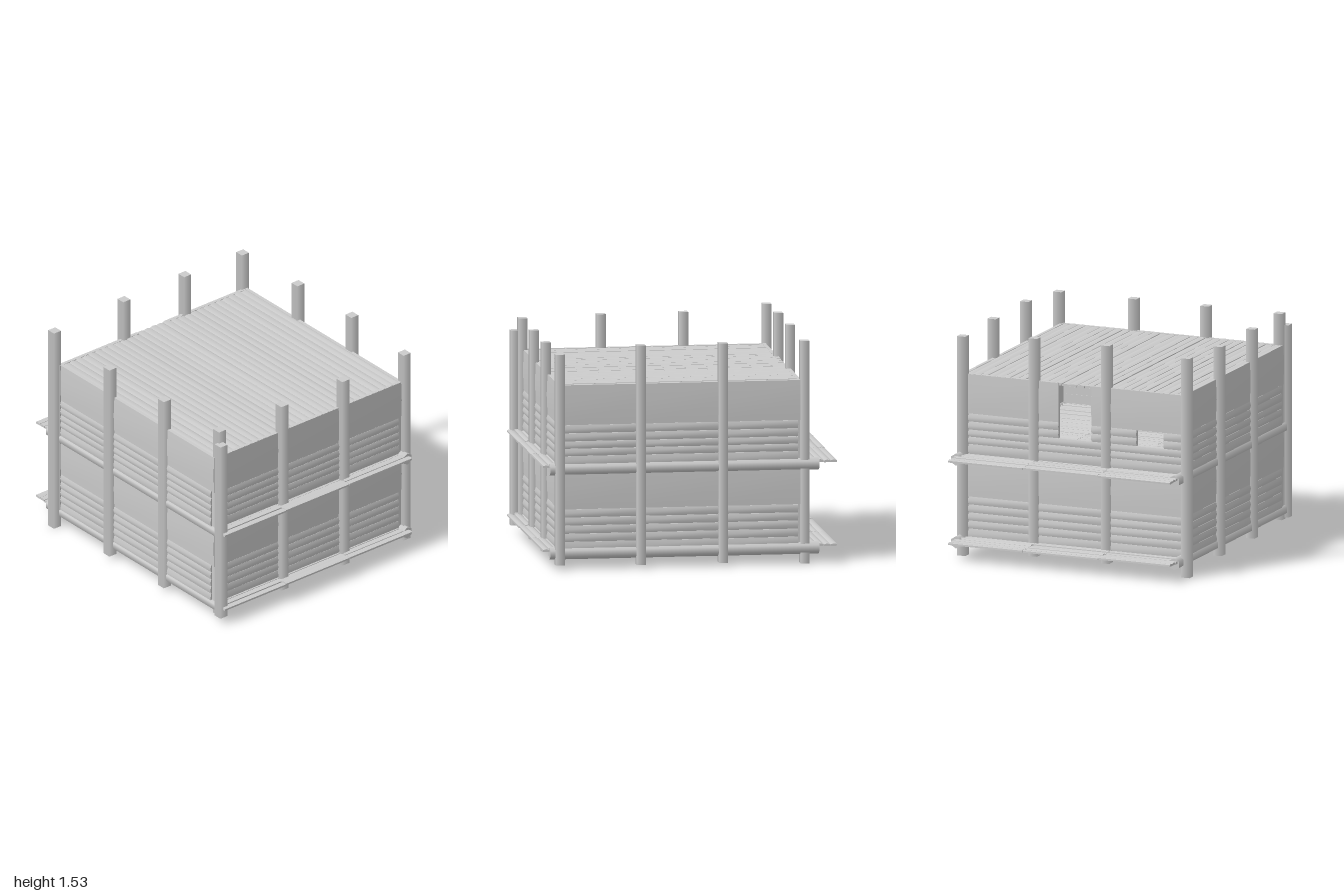
import * as THREE from 'three';

const mat = new THREE.MeshStandardMaterial({ color: 0xcccccc });

// Small seeded jitter in the range -a..a
let seed = 7;
const jitter = (a) => {
  seed = (seed * 16807) % 2147483647;
  return (seed / 2147483647 * 2 - 1) * a;
};

function add(parent, name, geo, x = 0, y = 0, z = 0) {
  const m = new THREE.Mesh(geo, mat);
  m.name = name;
  m.position.set(x, y, z);
  parent.add(m);
  return m;
}

// Board whose outer (+z) face swells slightly across its height
function board(len, height, thick, bulge) {
  const g = new THREE.BoxGeometry(len, height, thick, 1, 2, 1);
  const p = g.attributes.position;
  for (let i = 0; i < p.count; i++) {
    if (p.getZ(i) > 0 && Math.abs(p.getY(i)) < 1e-4) p.setZ(i, p.getZ(i) + bulge);
  }
  g.computeVertexNormals();
  return g;
}

// Board lying flat with the swollen face upwards, running along x
const flatBoard = (len, width, thick, bulge) => board(len, width, thick, bulge).rotateX(-Math.PI / 2);

// Row edges of one storey: slim boards, then one tall plank
const storeys = [
  [0.11, 0.18, 0.235, 0.29, 0.345, 0.40, 0.675],
  [0.69, 0.76, 0.81, 0.86, 0.915, 0.97, 1.24],
];

// Wall facing local +z; breaks are the post positions, holes are [u0, u1, y0, y1]
function wall(name, breaks, holes = []) {
  const g = new THREE.Group();
  g.name = name;
  for (let b = 0; b < breaks.length - 1; b++) {
    for (const rows of storeys) {
      for (let r = 0; r < rows.length - 1; r++) {
        const [y0, y1] = [rows[r], rows[r + 1]];
        const tall = y1 - y0 > 0.1;
        const inset = tall ? 0 : 0.03;
        const [u0, u1] = [breaks[b] + inset, breaks[b + 1] - inset];
        let spans = [[u0, u1]];
        for (const h of holes) {
          if (h[0] > u0 && h[1] < u1 && (y0 + y1) / 2 > h[2] && (y0 + y1) / 2 < h[3]) {
            spans = [[u0, h[0]], [h[1], u1]];
          }
        }
        const tilt = tall ? 0 : jitter(0.003);
        for (const [a, c] of spans) {
          const m = add(g, tall ? 'wallPlank' : 'wallBoard',
            board(c - a, y1 - y0 - (tall ? 0 : 0.001), 0.024, tall ? 0.006 : 0.008),
            (a + c) / 2, (y0 + y1) / 2, -0.012);
          m.rotation.z = tilt;
        }
      }
    }
    // Thin uprights closing the bay ends behind the posts
    for (const u of [breaks[b] + 0.022, breaks[b + 1] - 0.022]) {
      add(g, 'bayTrim', new THREE.BoxGeometry(0.044, 1.12, 0.018), u, 0.67, -0.013);
    }
  }
  return g;
}

export function createModel() {
  const root = new THREE.Group();
  root.name = 'timberTower';
  seed = 7;

  // Posts: [x, z, bottom, top]
  const posts = [
    [-0.835, -0.765, 0, 1.505], [-0.243, -0.755, 0.04, 1.535], [0.285, -0.755, 0.04, 1.535], [0.802, -0.775, 0, 1.505],
    [-0.82, -0.20, 0.03, 1.465], [-0.81, 0.36, 0.03, 1.465],
    [0.825, -0.22, 0.02, 1.505], [0.833, 0.337, 0.02, 1.505],
    [-0.773, 0.895, 0.04, 1.455], [-0.235, 0.898, 0.04, 1.455], [0.293, 0.898, 0.04, 1.455], [0.835, 0.885, 0.03, 1.455],
    [-0.80, 0.943, 0.05, 1.37],
  ];
  for (const [x, z, y0, y1] of posts) {
    const geo = new THREE.CylinderGeometry(0.043, 0.043, y1 - y0, 4).rotateY(Math.PI / 4);
    add(root, 'post', geo, x, (y0 + y1) / 2, z);
  }

  // Walls, each turned so that local +z points outwards
  const front = wall('frontWall', [-0.775, -0.235, 0.293, 0.81]);
  front.position.z = 0.89;
  const back = wall('backWall', [-0.80, -0.285, 0.243, 0.82],
    [[-0.11, 0.13, 0.86, 1.3], [0.46, 0.66, 0.86, 0.97]]);
  back.rotation.y = Math.PI;
  back.position.z = -0.755;
  const right = wall('rightWall', [-0.885, -0.337, 0.22, 0.76]);
  right.rotation.y = Math.PI / 2;
  right.position.x = 0.818;
  const left = wall('leftWall', [-0.76, -0.20, 0.36, 0.88]);
  left.rotation.y = -Math.PI / 2;
  left.position.x = -0.808;
  root.add(front, back, right, left);

  // Floors: boards along x in three lengths, reaching out as ledges front and back
  const joints = [-0.81, -0.28, 0.27, 0.815];
  for (const y of [0.122, 0.69]) {
    const floor = new THREE.Group();
    floor.name = 'floor';
    const n = 44, w = 1.99 / n;
    for (let i = 0; i < n; i++) {
      for (let k = 0; k < 3; k++) {
        const m = add(floor, 'floorBoard', flatBoard(joints[k + 1] - joints[k] - 0.002, w - 0.003, 0.012, 0.006),
          (joints[k] + joints[k + 1]) / 2, y - 0.003 + jitter(0.003), -0.995 + w * (i + 0.5));
        m.rotation.x = jitter(0.06);
      }
    }
    root.add(floor);

    // Side beams and slimmer joists under the boards
    for (const x of [-0.785, 0.81]) {
      const geo = new THREE.CylinderGeometry(0.042, 0.042, 1.82, 6).rotateX(Math.PI / 2);
      add(root, 'sideBeam', geo, x, y - 0.018, 0.04);
    }
    for (const x of [-0.243, 0.285]) {
      add(root, 'joist', new THREE.BoxGeometry(0.05, 0.035, 1.64), x, y - 0.03, 0.07);
    }
  }

  // Roof boards along z
  const roof = new THREE.Group();
  roof.name = 'roof';
  const count = 29, rw = 1.6 / count;
  for (let i = 0; i < count; i++) {
    const m = add(roof, 'roofBoard', flatBoard(1.64, rw - 0.003, 0.014, 0.005).rotateY(Math.PI / 2),
      -0.795 + rw * (i + 0.5), 1.229 + jitter(0.002), 0.068);
    m.rotation.y = jitter(0.001);
    m.rotation.z = jitter(0.05);
  }
  root.add(roof);

  return root;
}
